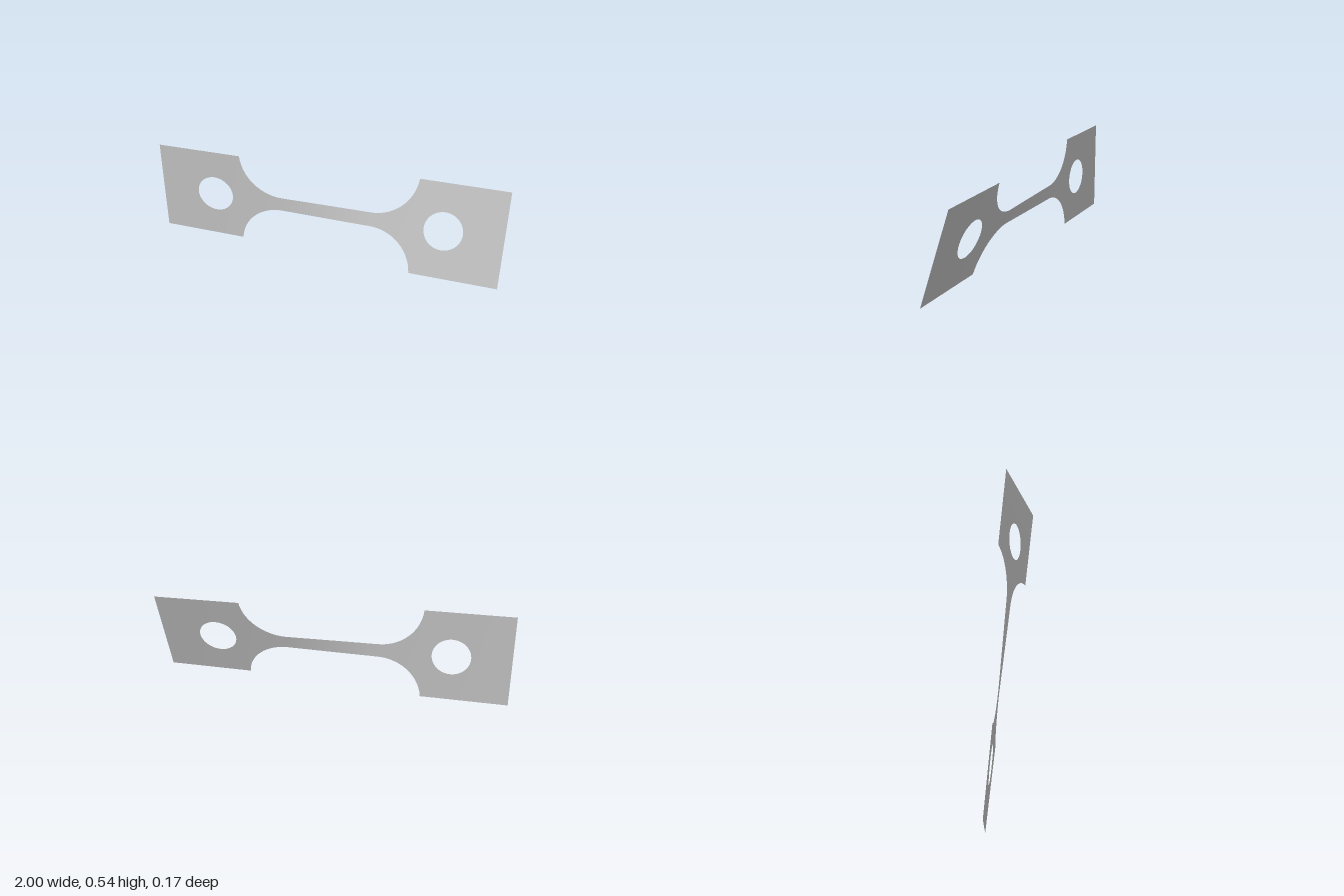
import * as THREE from 'three';
import { mergeVertices } from 'three/addons/utils/BufferGeometryUtils.js';

const HEAD = 0.2705, NECK = 0.04;          // half heights
const FILLET = 0.25, NECK_END = 0.26;      // fillet radius and where it meets the neck
const HEAD_START = NECK_END + Math.sqrt(FILLET ** 2 - (NECK + FILLET - HEAD) ** 2);
const HOLE_X = 0.67, HOLE_R = 0.108;

// half height of the strip at x
function halfHeight(x) {
  const d = Math.abs(x) - NECK_END;
  if (d <= 0) return NECK;
  if (d >= HEAD_START - NECK_END - 1e-6) return HEAD;
  return NECK + FILLET - Math.sqrt(FILLET ** 2 - d * d);
}

// half height of the round hole at x
function holeHalf(x) {
  const d = Math.abs(x) - HOLE_X;
  return Math.sqrt(Math.max(0, HOLE_R ** 2 - d * d));
}

// stations along one half, from the centre outward
function halfStations() {
  const xs = [];
  const span = (a, b, n) => { for (let i = 0; i < n; i++) xs.push(a + (b - a) * i / n); };
  span(0, NECK_END, 10);
  for (let i = 0; i < 20; i++) xs.push(NECK_END + (HEAD_START - NECK_END) * Math.sin(i / 20 * Math.PI / 2));
  span(HEAD_START, HOLE_X - HOLE_R, 2);
  for (let i = 0; i < 32; i++) xs.push(HOLE_X - HOLE_R * Math.cos(i / 32 * Math.PI));
  span(HOLE_X + HOLE_R, 1, 6);
  xs.push(1);
  return xs;
}

// twist: slight along the heads, most of it in the slender neck
function twistAt(x) {
  const a = Math.abs(x);
  const knots = [[0, 0], [NECK_END, 7], [HEAD_START, 8.3], [1, 9.35]];
  let deg = 0;
  for (let i = 1; i < knots.length; i++) {
    const [x0, d0] = knots[i - 1], [x1, d1] = knots[i];
    if (a >= x0) deg = d0 + (d1 - d0) * Math.min(1, (a - x0) / (x1 - x0));
  }
  return THREE.MathUtils.degToRad(9.35 + Math.sign(x) * deg);
}

function twistedPlate() {
  const half = halfStations();
  const xs = [...half.slice(1).reverse().map(x => -x), ...half];
  const rows = 4, pos = [], index = [];
  // lower and upper band, meeting on the axis or parted by a hole
  for (const side of [-1, 1]) {
    const base = pos.length / 3;
    xs.forEach((x, i) => {
      const t = twistAt(x), g = holeHalf(x), h = halfHeight(x);
      for (let j = 0; j <= rows; j++) {
        const v = side * (g + (h - g) * j / rows);
        pos.push(x, HEAD + v * Math.cos(t), -v * Math.sin(t));
        if (i && j) {
          const d = base + i * (rows + 1) + j, c = d - 1, b = d - rows - 1, a = b - 1;
          if (side > 0) index.push(a, c, d, a, d, b);
          else index.push(a, d, c, a, b, d);
        }
      }
    });
  }
  let geo = new THREE.BufferGeometry();
  geo.setAttribute('position', new THREE.Float32BufferAttribute(pos, 3));
  geo.setIndex(index);
  geo = mergeVertices(geo, 1e-5);
  geo.computeVertexNormals();
  return geo;
}

export function createModel() {
  const group = new THREE.Group();
  group.name = 'twistedTestStrip';
  const steel = new THREE.MeshStandardMaterial({ color: 0xbfbfbf, side: THREE.DoubleSide });
  steel.name = 'steelGrey';
  const plate = new THREE.Mesh(twistedPlate(), steel);
  plate.name = 'twistedPlate';
  group.add(plate);
  return group;
}
